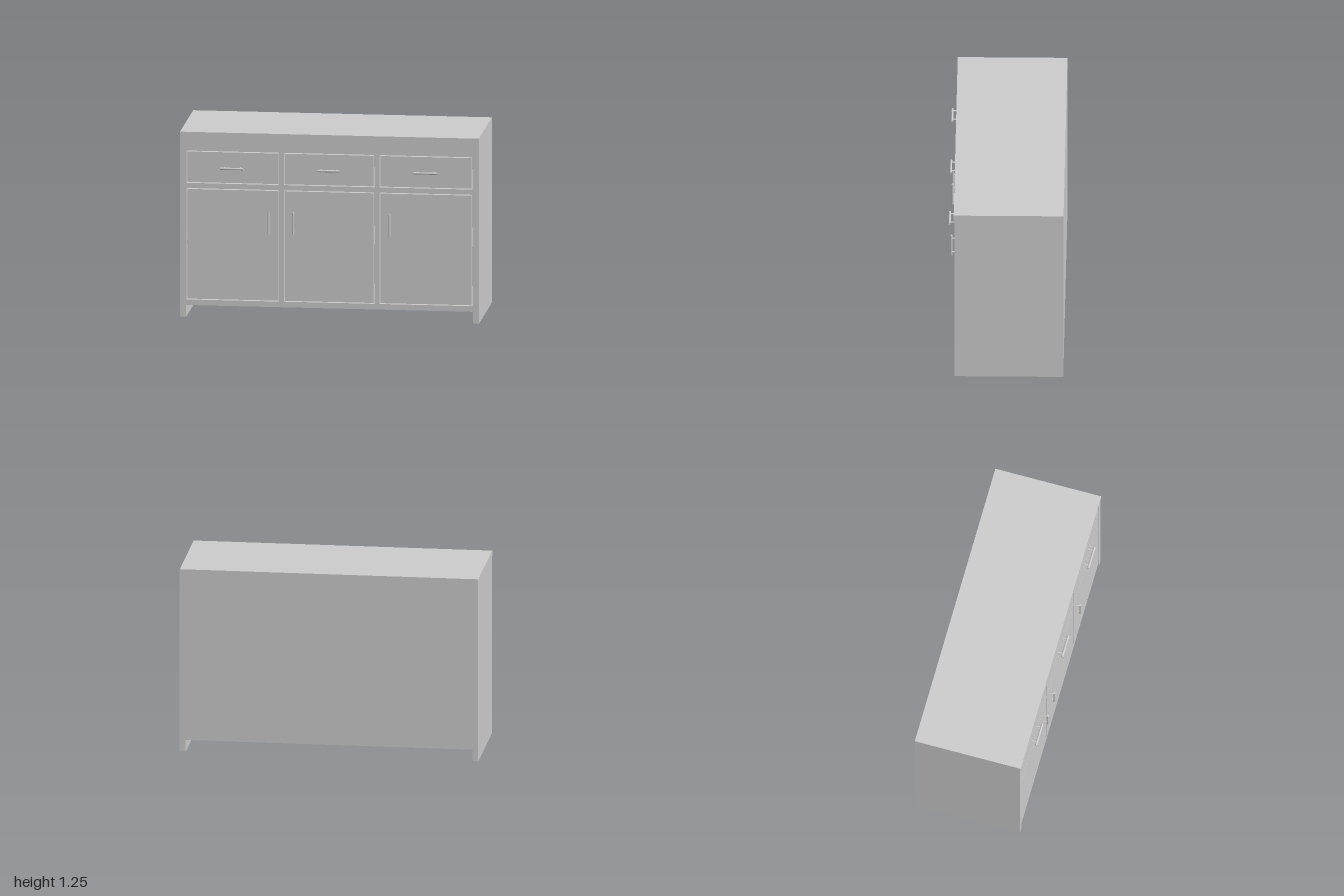
import * as THREE from 'three';

const BACK = -0.385, FRONT = 0.34;
const grey = new THREE.MeshStandardMaterial({ color: 0xcccccc });

export function createModel() {
  const model = new THREE.Group();
  model.name = 'sideboard';

  // Box given by its limits on each axis
  function box(name, x0, x1, y0, y1, z0, z1) {
    const mesh = new THREE.Mesh(new THREE.BoxGeometry(x1 - x0, y1 - y0, z1 - z0), grey);
    mesh.position.set((x0 + x1) / 2, (y0 + y1) / 2, (z0 + z1) / 2);
    mesh.name = name;
    model.add(mesh);
  }

  // Bar handle on two round posts, running along x or y
  function handle(name, x, y, vertical) {
    const group = new THREE.Group();
    group.name = name;
    const reach = vertical ? 0.029 : 0.037;
    const bar = new THREE.Mesh(new THREE.CylinderGeometry(0.0075, 0.0075, 0.155, 20), grey);
    bar.name = 'handleBar';
    bar.rotation.z = Math.PI / 2;
    bar.position.z = reach;
    group.add(bar);
    for (const side of [-1, 1]) {
      const post = new THREE.Mesh(new THREE.CylinderGeometry(0.0055, 0.0055, reach, 16), grey);
      post.name = 'handlePost';
      post.rotation.x = Math.PI / 2;
      post.position.set(side * 0.053, 0, reach / 2);
      group.add(post);
    }
    if (vertical) group.rotation.z = Math.PI / 2;
    group.position.set(x, y, FRONT - 0.001);
    model.add(group);
  }

  // Carcass
  box('worktop', -1, 1, 1.22, 1.255, BACK, 0.345);
  box('rightSide', -1, -0.96, 0, 1.22, BACK, FRONT);
  box('leftSide', 0.96, 1, 0, 1.22, BACK, FRONT);
  box('backPanel', -0.96, 0.96, 0.08, 1.22, BACK, BACK + 0.03);
  box('bottomPanel', -0.96, 0.96, 0.08, 0.115, BACK + 0.03, FRONT - 0.03);
  box('shelf', -0.96, 0.96, 0.485, 0.51, BACK + 0.03, FRONT - 0.05);

  // Front frame with an opening for every door and drawer
  const columns = [[-0.96, -0.34], [-0.305, 0.3], [0.335, 0.957]];
  const rows = [[0.118, 0.873], [0.908, 1.127]];
  const rect = (Type, x0, x1, y0, y1) => new Type([
    new THREE.Vector2(x0, y0), new THREE.Vector2(x1, y0),
    new THREE.Vector2(x1, y1), new THREE.Vector2(x0, y1),
  ]);
  const frameShape = rect(THREE.Shape, -0.965, 0.965, 0.08, 1.22);
  for (const [x0, x1] of columns)
    for (const [y0, y1] of rows)
      frameShape.holes.push(rect(THREE.Path, Math.max(x0, -0.957), x1, y0, y1));
  const frame = new THREE.Mesh(
    new THREE.ExtrudeGeometry(frameShape, { depth: 0.035, bevelEnabled: false }), grey);
  frame.name = 'frontFrame';
  frame.position.z = FRONT - 0.036;
  model.add(frame);

  // Doors and drawer fronts sit in the openings with a narrow gap all round
  const gap = 0.006;
  const doorHandles = [-0.405, -0.24, 0.405];
  columns.forEach(([x0, x1], i) => {
    rows.forEach(([y0, y1], row) => {
      box(row ? 'drawerFront' : 'door', Math.max(x0, -0.957) + gap, x1 - gap,
        y0 + gap, y1 - gap, FRONT - 0.035, FRONT - 0.001);
    });
    handle('drawerHandle', (x0 + x1) / 2, 1.017, false);
    handle('doorHandle', doorHandles[i], 0.655, true);
  });

  // Dividers between the compartments
  for (const x of [-0.3225, 0.3175])
    box('divider', x - 0.0175, x + 0.0175, 0.115, 1.22, BACK + 0.03, FRONT - 0.036);
  box('drawerShelf', -0.96, 0.96, 0.875, 0.906, BACK + 0.03, FRONT - 0.036);

  return model;
}
